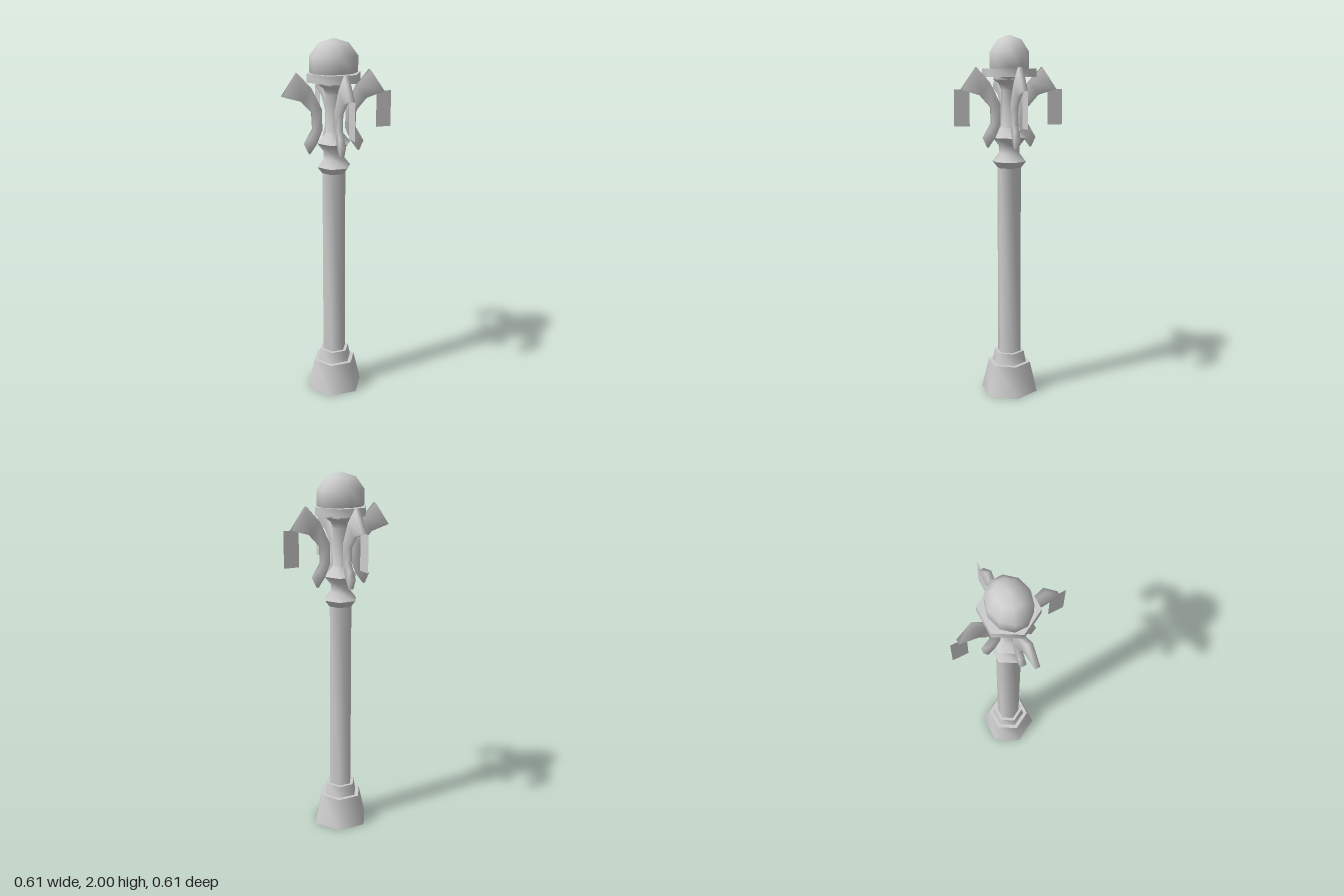
import * as THREE from 'three';
import { toCreasedNormals } from 'three/addons/utils/BufferGeometryUtils.js';

const AXIS_X = -0.023;

// Six-sided turned part, with corners pointing along x; profile is [radius, y] from bottom to top
function turned(name, profile, material) {
  const points = profile.map(([r, y]) => new THREE.Vector2(r, y));
  const geometry = new THREE.LatheGeometry(points, 6, Math.PI / 2);
  const mesh = new THREE.Mesh(toCreasedNormals(geometry, 1.15), material);
  mesh.name = name;
  return mesh;
}

// Curved bracket: four-cornered cross-sections between an inner and an outer edge
function bracketGeometry() {
  const sections = [ // inner radius, y, outer radius, y
    [0.139, 1.402, 0.165, 1.455],
    [0.100, 1.455, 0.140, 1.497],
    [0.070, 1.525, 0.118, 1.534],
    [0.070, 1.635, 0.122, 1.620],
    [0.128, 1.751, 0.180, 1.683],
    [0.202, 1.831, 0.284, 1.714],
  ];
  const h = 0.014;
  const positions = [];
  const index = [];
  for (const [ix, iy, ox, oy] of sections) {
    positions.push(ix, iy, h, ox, oy, h, ox, oy, -h, ix, iy, -h);
  }
  const quad = (a, b, c, d) => index.push(a, b, c, a, c, d);
  for (let s = 0; s < sections.length - 1; s++) {
    for (let k = 0; k < 4; k++) {
      const a = s * 4 + k;
      const b = s * 4 + (k + 1) % 4;
      quad(a, b, b + 4, a + 4);
    }
  }
  const e = (sections.length - 1) * 4;
  quad(3, 2, 1, 0);
  quad(e, e + 1, e + 2, e + 3);
  const geometry = new THREE.BufferGeometry();
  geometry.setAttribute('position', new THREE.Float32BufferAttribute(positions, 3));
  geometry.setIndex(index);
  geometry.computeVertexNormals();
  return geometry;
}

export function createModel() {
  const model = new THREE.Group();
  model.name = 'lampPost';
  const metal = new THREE.MeshStandardMaterial({ color: 0xcccccc });
  metal.name = 'light grey';
  metal.side = THREE.DoubleSide;

  // Post: stepped foot, shaft, moulded neck and lamp tray
  const post = new THREE.Group();
  post.name = 'post';
  post.position.x = AXIS_X;
  post.add(
    turned('foot', [[0, 0], [0.162, 0], [0.122, 0.173], [0, 0.173]], metal),
    turned('footStep', [[0.098, 0.173], [0.085, 0.237], [0, 0.237]], metal),
    turned('shaft', [[0.066, 0.237], [0.066, 1.29]], metal),
    turned('neck', [
      [0.066, 1.29], [0.094, 1.325], [0.058, 1.37], [0.058, 1.41], [0.094, 1.455],
      [0.045, 1.51], [0.045, 1.71], [0.058, 1.745], [0.087, 1.765], [0.087, 1.782],
    ], metal),
    turned('lampTray', [[0, 1.78], [0.15, 1.78], [0.15, 1.824], [0, 1.824]], metal),
  );
  model.add(post);

  // Lamp globe: ten-sided, slightly wider across x
  const globe = new THREE.Mesh(new THREE.SphereGeometry(1, 10, 5, Math.PI / 10), metal);
  globe.name = 'globe';
  globe.scale.set(0.136, 0.13, 0.114);
  globe.position.set(AXIS_X, 1.87, 0);
  model.add(globe);

  // Four brackets around the neck; the front and back ones sit closer in
  const bracket = bracketGeometry();
  for (let i = 0; i < 4; i++) {
    const holder = new THREE.Group();
    holder.name = 'bracketHolder';
    holder.position.x = AXIS_X;
    holder.rotation.y = i * Math.PI / 2;
    const arm = new THREE.Mesh(bracket, metal);
    arm.name = 'bracket';
    arm.position.x = i % 2 ? -0.018 : 0;
    holder.add(arm);

    // Hanging panel at the tip, on all but the right-hand bracket
    if (i !== 2) {
      const panel = new THREE.Mesh(new THREE.PlaneGeometry(0.085, 0.194), metal);
      panel.name = 'hangingPanel';
      panel.position.set(i === 0 ? 0.2625 - AXIS_X : 0.2625, 1.617, 0);
      holder.add(panel);
    }
    model.add(holder);
  }
  return model;
}
